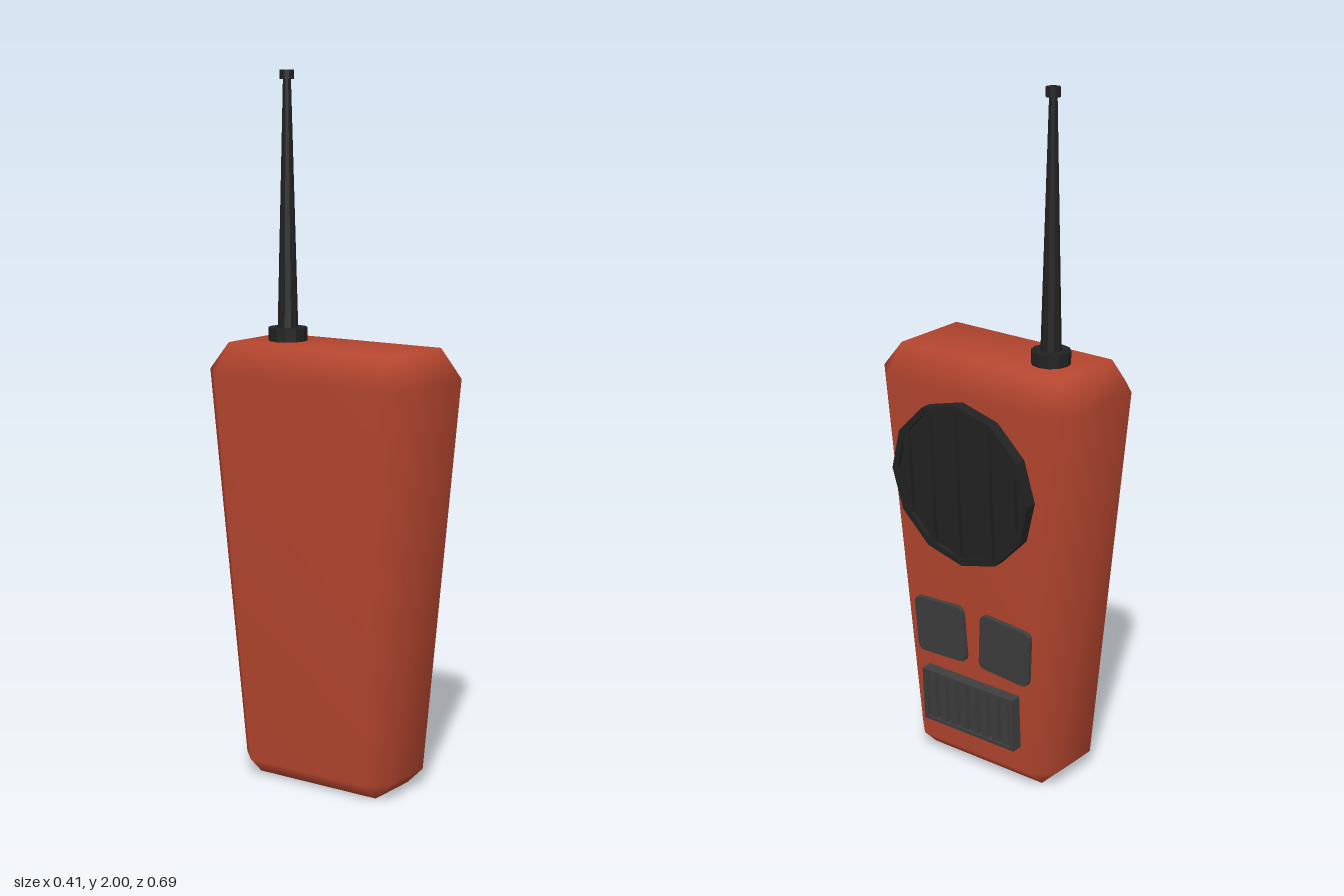
import * as THREE from 'three';
import { mergeVertices } from 'three/addons/utils/BufferGeometryUtils.js';

const shell = new THREE.MeshStandardMaterial({ name: 'red shell', color: 0xb5462f });
const black = new THREE.MeshStandardMaterial({ name: 'black plastic', color: 0x222222, flatShading: true });
const grey = new THREE.MeshStandardMaterial({ name: 'dark grey rubber', color: 0x3e3e3e, flatShading: true });

function add(parent, name, geometry, material, x = 0, y = 0, z = 0) {
  const mesh = new THREE.Mesh(geometry, material);
  mesh.name = name;
  mesh.position.set(x, y, z);
  parent.add(mesh);
  return mesh;
}

// Octagonal ring; c is the corner cut (hx, hz half sizes)
function ring(y, hx, hz, c) {
  return [
    [hx, hz - c], [hx - c, hz], [c - hx, hz], [-hx, hz - c],
    [-hx, c - hz], [c - hx, -hz], [hx - c, -hz], [hx, c - hz],
  ].map(([x, z]) => [x, y, z]);
}

// Tapered case with chamfered edges and soft shading
function caseGeometry() {
  const rings = [
    ring(0, 0.082, 0.2, 0),
    ring(0.05, 0.133, 0.25, 0.051),
    ring(1.17, 0.1875, 0.342, 0.068),
    ring(1.25, 0.1195, 0.275, 0),
  ];
  const index = [];
  for (let r = 0; r < 3; r++) {
    for (let i = 0; i < 8; i++) {
      const a = r * 8 + i, b = r * 8 + (i + 1) % 8;
      index.push(a, a + 8, b, b, a + 8, b + 8);
    }
  }
  for (let i = 1; i < 7; i++) {
    index.push(0, i, i + 1);
    index.push(24, 24 + i + 1, 24 + i);
  }
  let g = new THREE.BufferGeometry();
  g.setAttribute('position', new THREE.Float32BufferAttribute(rings.flat(2), 3));
  g.setIndex(index);
  g = mergeVertices(g, 1e-4);
  g.computeVertexNormals();
  return g;
}

function polygon(radius, sides) {
  const pts = [];
  for (let i = 0; i < sides; i++) {
    const a = (i / sides) * Math.PI * 2;
    pts.push(new THREE.Vector2(Math.cos(a) * radius, Math.sin(a) * radius));
  }
  return pts;
}

function rectangle(w, h) {
  return [[-w, -h], [w, -h], [w, h], [-w, h]].map(([x, y]) => new THREE.Vector2(x / 2, y / 2));
}

function frame(outer, inner, depth) {
  const shape = new THREE.Shape(outer);
  shape.holes.push(new THREE.Path(inner));
  return new THREE.ExtrudeGeometry(shape, { depth, bevelEnabled: false });
}

// Button pad with small rounded corners
function padGeometry(w, h, r, depth) {
  const s = new THREE.Shape();
  const x = w / 2, y = h / 2;
  s.moveTo(-x + r, -y);
  s.lineTo(x - r, -y).quadraticCurveTo(x, -y, x, -y + r);
  s.lineTo(x, y - r).quadraticCurveTo(x, y, x - r, y);
  s.lineTo(-x + r, y).quadraticCurveTo(-x, y, -x, y - r);
  s.lineTo(-x, -y + r).quadraticCurveTo(-x, -y, -x + r, -y);
  return new THREE.ExtrudeGeometry(s, { depth, bevelEnabled: false, curveSegments: 3 });
}

export function createModel() {
  const model = new THREE.Group();
  model.name = 'handheldRadio';
  const radio = new THREE.Group();
  radio.name = 'radio';
  radio.position.x = -0.0175;
  radio.rotation.y = 0.018;
  model.add(radio);

  add(radio, 'case', caseGeometry(), shell);

  // Antenna
  const antenna = new THREE.Group();
  antenna.name = 'antenna';
  antenna.position.set(0.0075, 0, -0.163);
  radio.add(antenna);
  add(antenna, 'antennaCollar', new THREE.CylinderGeometry(0.055, 0.055, 0.045, 12), black, 0, 1.265);
  add(antenna, 'antennaRod', new THREE.CylinderGeometry(0.011, 0.029, 0.7, 10), black, 0, 1.63);
  add(antenna, 'antennaTip', new THREE.CylinderGeometry(0.02, 0.02, 0.026, 10), black, 0, 1.987);

  // Control panel on the sloped side: x across, y up, z outward
  const panel = new THREE.Group();
  panel.name = 'controlPanel';
  panel.position.x = 0.1306;
  panel.rotation.set(0, Math.PI / 2, -0.0487, 'ZYX');
  radio.add(panel);

  // Round speaker with upright ribs
  const speaker = new THREE.Group();
  speaker.name = 'speaker';
  speaker.position.y = 0.912;
  panel.add(speaker);
  add(speaker, 'speakerRim', frame(polygon(0.24, 12), polygon(0.222, 12), 0.043), black, 0, 0, -0.01);
  const disc = new THREE.ExtrudeGeometry(new THREE.Shape(polygon(0.23, 12)), { depth: 0.03, bevelEnabled: false });
  add(speaker, 'speakerDisc', disc, black, 0, 0, -0.01);
  for (const x of [-0.185, -0.105, -0.015, 0.1, 0.185]) {
    const height = 2 * Math.sqrt(0.222 ** 2 - x ** 2);
    add(speaker, 'speakerRib', new THREE.BoxGeometry(0.02, height, 0.02), black, x, 0, 0.021);
  }

  // Two slightly turned buttons
  for (const [x, turn] of [[-0.108, 0.05], [0.125, -0.07]]) {
    const button = add(panel, 'button', padGeometry(0.176, 0.172, 0.022, 0.024), grey, x, 0.432, -0.01);
    button.rotation.z = turn;
  }

  // Slatted lower vent
  const vent = new THREE.Group();
  vent.name = 'vent';
  vent.position.y = 0.213;
  panel.add(vent);
  add(vent, 'ventFrame', frame(rectangle(0.33, 0.165), rectangle(0.304, 0.145), 0.044), grey, 0, 0, -0.01);
  add(vent, 'ventBack', new THREE.BoxGeometry(0.32, 0.155, 0.028), grey, 0, 0, 0.004);
  for (let i = 0; i < 8; i++) {
    add(vent, 'ventSlat', new THREE.BoxGeometry(0.026, 0.146, 0.02), grey, (i - 3.5) * 0.038, 0, 0.02);
  }
  return model;
}
